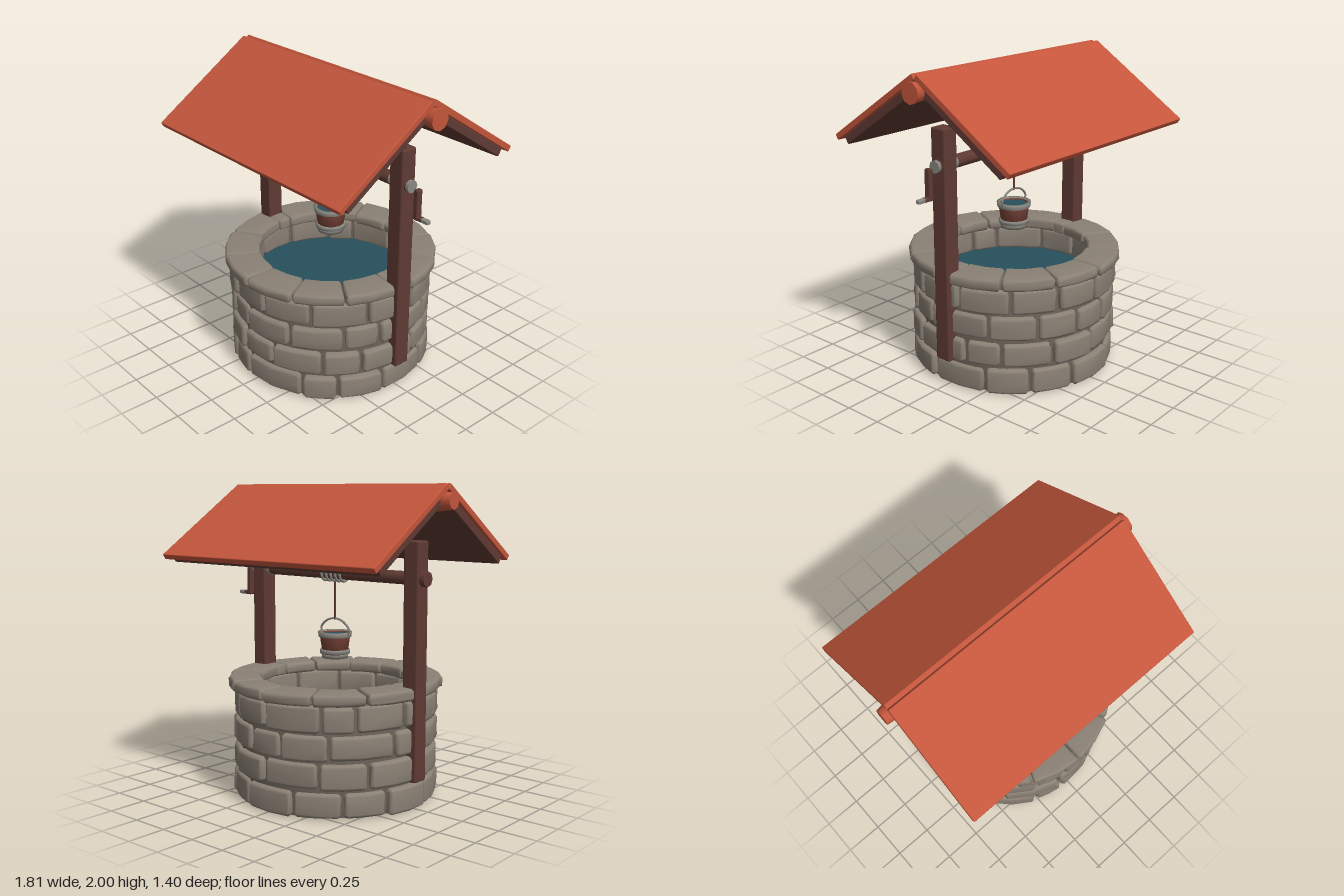
import * as THREE from 'three';
import { mergeVertices } from 'three/addons/utils/BufferGeometryUtils.js';
import { RoundedBoxGeometry } from 'three/addons/geometries/RoundedBoxGeometry.js';

const mat = (name, color, side = THREE.FrontSide) => {
  const m = new THREE.MeshStandardMaterial({ color, side });
  m.name = name;
  return m;
};

export function createModel() {
  const stone = mat('stone', 0x8b8175);
  const mortar = mat('mortar', 0x6c645a, THREE.DoubleSide);
  const wood = mat('dark wood', 0x5f3a33);
  const tile = mat('red roof', 0xc4563c);
  const metal = mat('grey metal', 0x8a8881, THREE.DoubleSide);
  const plank = mat('bucket wood', 0x7a4438, THREE.DoubleSide);
  const waterMat = mat('water', 0x27505c, THREE.DoubleSide);

  const model = new THREE.Group();
  model.name = 'well';
  let seed = 7;
  const rand = () => (seed = (seed * 16807) % 2147483647) / 2147483647;
  const jitter = (a) => (rand() * 2 - 1) * a;

  const add = (parent, name, geo, material, x = 0, y = 0, z = 0) => {
    const mesh = new THREE.Mesh(geo, material);
    mesh.name = name;
    mesh.position.set(x, y, z);
    parent.add(mesh);
    return mesh;
  };
  const group = (name, parent = model) => {
    const g = new THREE.Group();
    g.name = name;
    parent.add(g);
    return g;
  };

  // Pillow-edged block bent to the ring: a box grid squeezed at its edges
  const stoneGeo = (r0, r1, y0, y1, a0, a1, bevel = 0.022) => {
    let g = new THREE.BoxGeometry(4, 4, 4, 4, 4, 4);
    g.deleteAttribute('normal');
    g.deleteAttribute('uv');
    g = mergeVertices(g);
    const p = g.attributes.position;
    const rm = (r0 + r1) / 2, am = (a0 + a1) / 2, ym = (y0 + y1) / 2;
    const half = [(a1 - a0) * r1 / 2, (y1 - y0) / 2, (r1 - r0) / 2];
    for (let i = 0; i < p.count; i++) {
      const k = [p.getX(i), p.getY(i), p.getZ(i)].map(Math.round);
      const extremes = k.filter((v) => Math.abs(v) === 2).length;
      const pull = extremes > 1 ? bevel * 0.38 * (extremes - 1) : 0;
      const [u, v, w] = k.map((n, j) => {
        const a = Math.abs(n);
        return Math.sign(n) * (a === 2 ? half[j] - pull : a === 1 ? half[j] - bevel : 0);
      });
      const ang = am + u / r1 + jitter(0.006), r = rm + w + jitter(0.003);
      p.setXYZ(i, r * Math.sin(ang), ym + v + jitter(0.002), r * Math.cos(ang));
    }
    g.computeVertexNormals();
    return g;
  };

  // Wall: mortar tube with four courses of stones
  const wall = group('wall');
  const tube = [[0.55, 0.01], [0.625, 0.01], [0.625, 0.71], [0.55, 0.71], [0.55, 0.01]];
  add(wall, 'mortar', new THREE.LatheGeometry(tube.map((q) => new THREE.Vector2(...q)), 40), mortar);
  const courses = [[0.005, 0.165], [0.185, 0.34], [0.36, 0.515], [0.535, 0.695]];
  courses.forEach(([y0, y1], row) => {
    const n = 13;
    const step = Math.PI * 2 / n;
    const joints = Array.from({ length: n }, (_, i) => (i + (row % 2) / 2) * step + jitter(0.1));
    joints.push(joints[0] + Math.PI * 2);
    for (let i = 0; i < n; i++) {
      add(wall, 'wallStone', stoneGeo(0.52 + jitter(0.008), 0.66 + jitter(0.01),
        y0 + jitter(0.005), y1 + jitter(0.005), joints[i] + 0.014, joints[i + 1] - 0.014), stone);
    }
  });

  // Cap stones, leaving a slot for each post
  const cap = group('cap');
  for (const start of [Math.PI / 2, -Math.PI / 2]) {
    const a = start + 0.085, span = Math.PI - 0.17;
    for (let i = 0; i < 6; i++) {
      add(cap, 'capStone', stoneGeo(0.475 + jitter(0.01), 0.69 + jitter(0.008), 0.7, 0.777 + jitter(0.006),
        a + span * i / 6 + 0.006, a + span * (i + 1) / 6 - 0.006, 0.018), stone);
    }
    add(cap, 'slotStone', stoneGeo(0.48, 0.6, 0.7, 0.772, start - 0.09, start + 0.09, 0.012), stone);
  }

  // Water inside the well
  add(model, 'water', new THREE.CircleGeometry(0.55, 40), waterMat, 0, 0.54).rotation.x = -Math.PI / 2;

  // Posts
  for (const s of [-1, 1]) {
    add(model, 'post', new RoundedBoxGeometry(0.108, 1.48, 0.11, 2, 0.012), wood, s * 0.637, 0.92, 0);
  }

  // Roof: tile slab over a wooden board on each slope
  const roof = group('roof');
  for (const turn of [0, Math.PI]) {
    const side = group('roofSide', roof);
    side.rotation.y = turn;
    const slope = group('slope', side);
    slope.position.set(0, 1.998, 0.018);
    slope.rotation.x = 0.585;
    add(slope, 'tileSlab', new RoundedBoxGeometry(1.73, 0.04, 0.815, 2, 0.006), tile, 0, -0.02, 0.4075);
    add(slope, 'board', new RoundedBoxGeometry(1.69, 0.056, 0.71, 2, 0.008), wood, 0, -0.067, 0.415);
  }

  // Ridge: overlapping tapered tiles
  const ridge = group('ridge');
  const count = 12, len = 1.81 / count;
  for (let i = 0; i < count; i++) {
    const g = new THREE.CylinderGeometry(0.05, 0.066, len + (i && i < count - 1 ? 0.02 : 0), 9);
    g.rotateZ(Math.PI / 2);
    g.rotateX(jitter(0.3));
    add(ridge, 'ridgeTile', g, tile, -0.905 + len * (i + 0.5), 1.9 + jitter(0.006), jitter(0.008));
  }

  // Windlass: axle, end collars and wound rope
  const windlass = group('windlass');
  const rod = (name, r, x0, x1, material, y = 1.433, sides = 12) => {
    const g = new THREE.CylinderGeometry(r, r, x1 - x0, sides);
    g.rotateZ(Math.PI / 2);
    return add(windlass, name, g, material, (x0 + x1) / 2, y, 0);
  };
  rod('axle', 0.041, -0.7, 0.7, wood);
  rod('axleEnd', 0.048, -0.725, -0.685, wood, 1.433, 8);
  rod('collar', 0.04, 0.69, 0.722, metal, 1.433, 8);
  for (const s of [-1, 1]) rod('innerCollar', 0.036 + 0.008, s * 0.572 - 0.014, s * 0.572 + 0.014, s > 0 ? metal : wood);
  for (let i = 0; i < 5; i++) {
    const coil = add(windlass, 'ropeCoil', new THREE.TorusGeometry(0.05, 0.009, 6, 18), metal, -0.075 + i * 0.038, 1.431, 0);
    coil.rotation.y = Math.PI / 2 + 0.08;
  }

  // Crank
  const crank = group('crank');
  add(crank, 'crankArm', new RoundedBoxGeometry(0.034, 0.195, 0.042, 2, 0.008), wood, 0.769, 1.338, 0);
  add(crank, 'crankBend', new RoundedBoxGeometry(0.07, 0.026, 0.036, 2, 0.008), wood, 0.785, 1.254, 0);
  add(crank, 'crankHandle', new RoundedBoxGeometry(0.06, 0.026, 0.034, 2, 0.008), metal, 0.836, 1.254, 0);

  // Hanging rope
  add(model, 'rope', new THREE.CylinderGeometry(0.007, 0.007, 0.27, 6), wood, 0, 1.265, 0);

  // Bucket with bands, handle and water
  const bucket = group('bucket');
  const lathe = (name, pts, material) =>
    add(bucket, name, new THREE.LatheGeometry(pts.map((q) => new THREE.Vector2(...q)), 18), material);
  lathe('bucketBody', [[0, 0.89], [0.08, 0.89], [0.102, 1.045], [0.09, 1.045], [0.072, 0.905]], plank);
  lathe('topBand', [[0.1, 1.02], [0.107, 1.02], [0.112, 1.052], [0.09, 1.052], [0.09, 1.03]], metal);
  lathe('lowerBand', [[0.085, 0.91], [0.098, 0.912], [0.1, 0.935], [0.087, 0.938]], metal);
  lathe('bucketFoot', [[0, 0.882], [0.085, 0.882], [0.088, 0.905], [0.08, 0.908]], metal);
  const fill = add(bucket, 'bucketWater', new THREE.CircleGeometry(0.092, 18), waterMat, 0, 1.035, 0);
  fill.rotation.x = -Math.PI / 2;
  const bail = new THREE.CatmullRomCurve3([[-0.105, 1.035], [-0.118, 1.07], [-0.07, 1.12], [0, 1.138],
    [0.07, 1.12], [0.118, 1.07], [0.105, 1.035]].map(([x, y]) => new THREE.Vector3(x, y, 0)));
  add(bucket, 'bucketHandle', new THREE.TubeGeometry(bail, 24, 0.007, 6), metal);

  return model;
}
